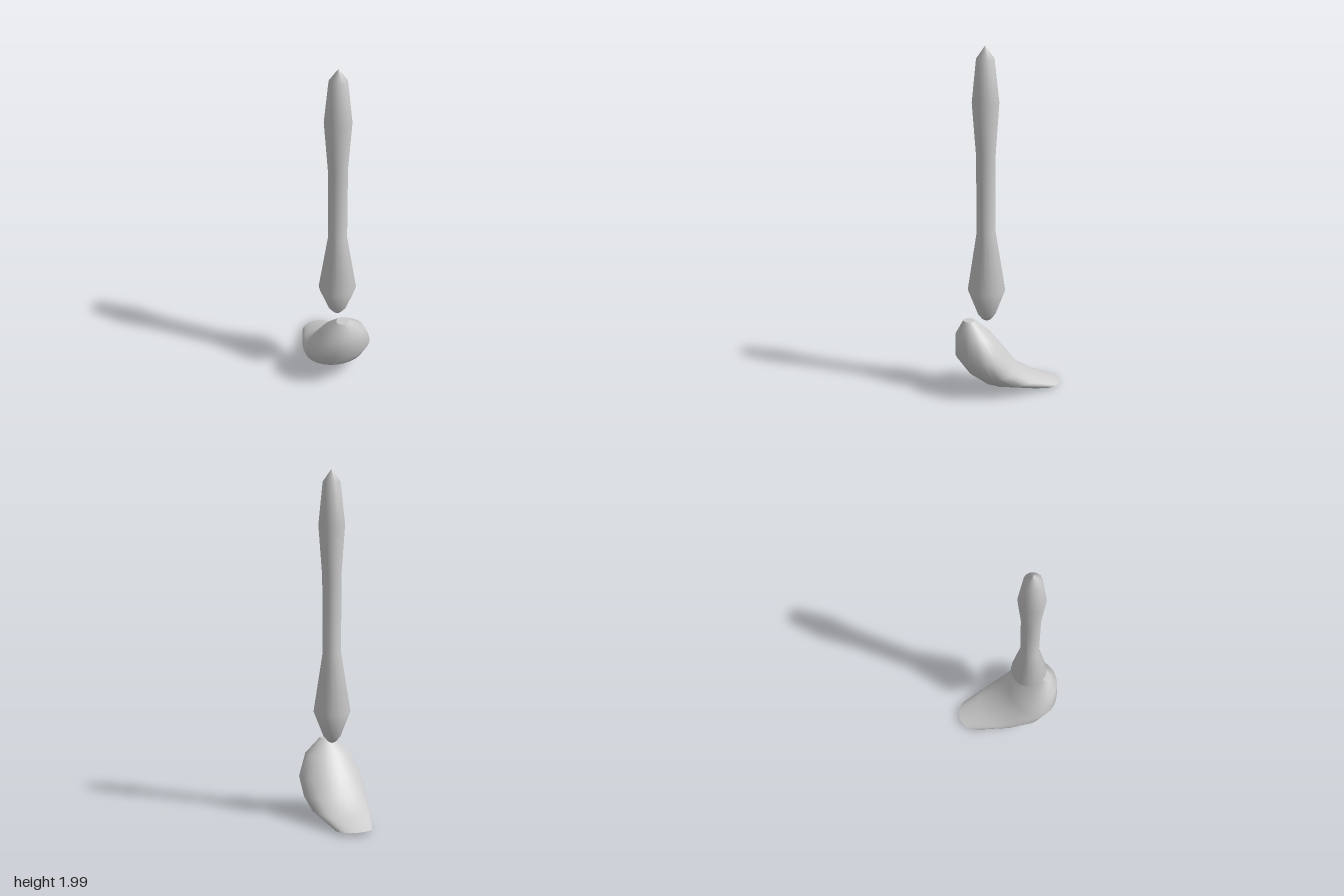
import * as THREE from 'three';

const material = new THREE.MeshStandardMaterial({ color: 0xcccccc });

// Sections of the foot from ankle to toe:
// upper edge (z, y), lower edge (z, y), half width, x shift, groove depth underneath
const SECTIONS = [
  [0.20, 0.445, 0.268, 0.445, 0.036, -0.007, 0],
  [0.11, 0.365, 0.31, 0.355, 0.13, 0, 0],
  [0.02, 0.25, 0.31, 0.23, 0.184, 0, 0],
  [-0.05, 0.155, 0.24, 0.13, 0.184, 0, 0],
  [-0.18, 0.08, 0.17, 0.075, 0.163, 0.008, 0.02],
  [-0.31, 0.03, -0.115, 0.008, 0.105, 0.018, 0.2],
];
const SIDES = 28;

// One closed section; every other point of the lower half is pulled in as a groove
function sectionRing([tz, ty, bz, by, w, cx, groove]) {
  const ring = [];
  for (let j = 0; j < SIDES; j++) {
    const t = (j / SIDES) * Math.PI * 2;
    const inGroove = Math.sin(t) < -0.1 && j % 2 === 0;
    const k = inGroove ? 1 - groove : 1;
    const mix = (1 + k * Math.sin(t)) / 2;
    ring.push(new THREE.Vector3(
      cx + w * k * Math.cos(t),
      by + (ty - by) * mix + (inGroove ? groove * 0.06 : 0),
      bz + (tz - bz) * mix,
    ));
  }
  return ring;
}

function indexedGeometry(points, index) {
  const g = new THREE.BufferGeometry().setFromPoints(points);
  g.setIndex(index);
  g.computeVertexNormals();
  return g;
}

// Skin stretched over consecutive rings
function loft(rings) {
  const index = [];
  for (let i = 0; i < rings.length - 1; i++) {
    for (let j = 0; j < SIDES; j++) {
      const n = (j + 1) % SIDES;
      const a = i * SIDES + j, b = i * SIDES + n;
      const c = a + SIDES, d = b + SIDES;
      index.push(a, c, b, b, c, d);
    }
  }
  return indexedGeometry(rings.flat(), index);
}

// Fan that closes a ring
function cap(ring, flip) {
  const centre = ring.reduce((s, p) => s.add(p), new THREE.Vector3()).divideScalar(SIDES);
  const index = [];
  for (let j = 0; j < SIDES; j++) {
    const n = (j + 1) % SIDES;
    index.push(SIDES, flip ? n : j, flip ? j : n);
  }
  return indexedGeometry([...ring, centre], index);
}

function addMesh(parent, name, geometry) {
  const mesh = new THREE.Mesh(geometry, material);
  mesh.name = name;
  parent.add(mesh);
  return mesh;
}

export function createModel() {
  const model = new THREE.Group();
  model.name = 'legAndFoot';

  // Long shaft, swollen at both ends
  const profile = [
    [0, 0.432], [0.025, 0.445], [0.05, 0.475], [0.106, 0.62], [0.053, 0.96],
    [0.054, 1.4], [0.075, 1.69], [0.05, 1.93], [0, 2],
  ].map(([r, y]) => new THREE.Vector2(r, y));
  addMesh(model, 'shaft', new THREE.LatheGeometry(profile, 16)).position.z = 0.132;

  // Foot sweeping down and back to a flat, grooved toe
  const foot = new THREE.Group();
  foot.name = 'foot';
  const rings = SECTIONS.map(sectionRing);
  addMesh(foot, 'footBody', loft(rings));
  addMesh(foot, 'ankleCap', cap(rings[0], false));
  addMesh(foot, 'toeCap', cap(rings[rings.length - 1], true));
  model.add(foot);

  return model;
}
